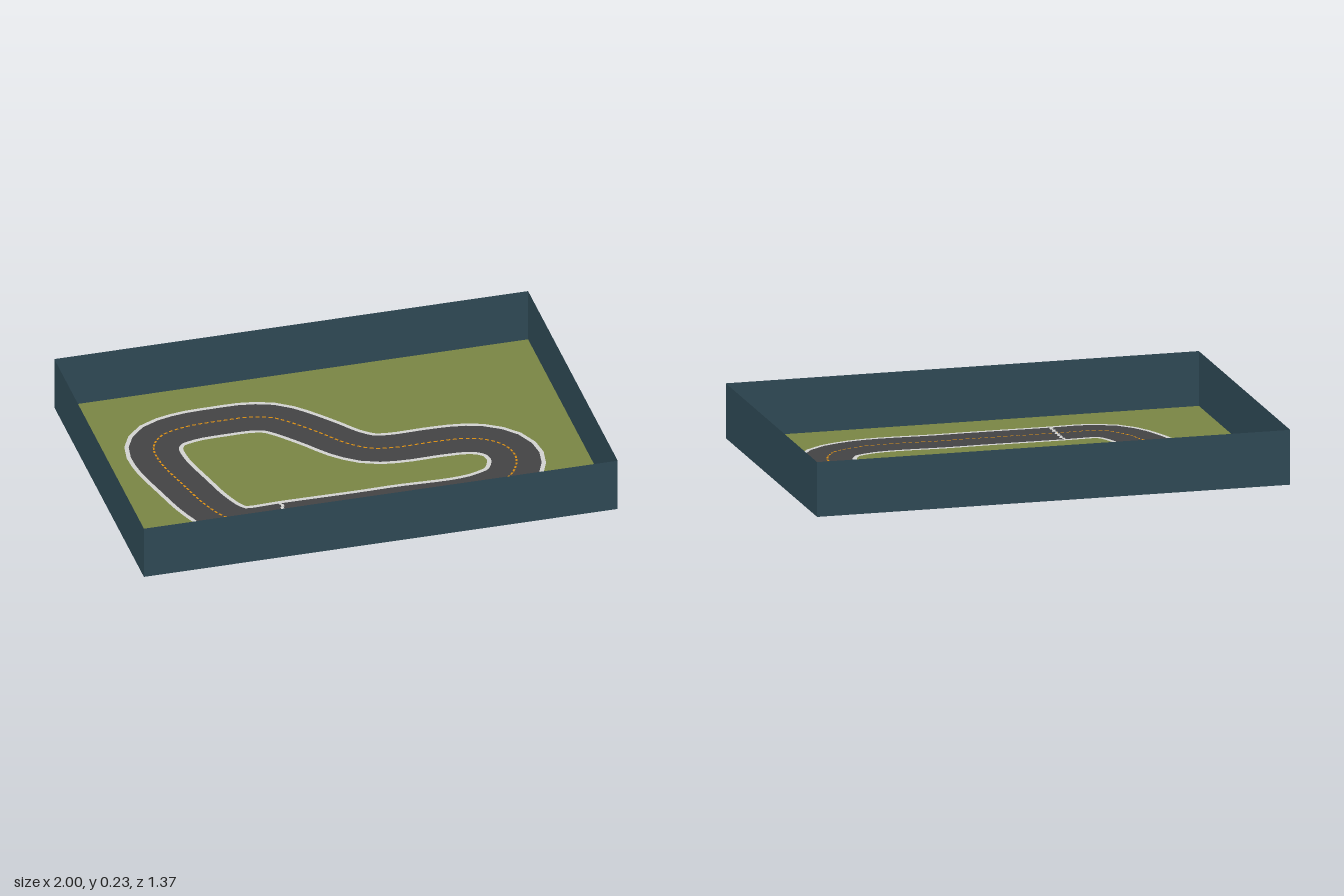
import * as THREE from 'three';
import { mergeGeometries } from 'three/addons/utils/BufferGeometryUtils.js';

const W = 2, D = 1.374, H = 0.23;

function material(name, color) {
  const m = new THREE.MeshStandardMaterial({ color });
  m.name = name;
  return m;
}

// Centre line of the circuit as x, z pairs
const CENTRE = [
  [-0.32, 0.387], [0.03, 0.39], [0.17, 0.388], [0.43, 0.395], [0.54, 0.377], [0.645, 0.325],
  [0.705, 0.205], [0.69, 0.1], [0.63, 0.033], [0.55, 0], [0.43, -0.01], [0.25, -0.01],
  [0.155, -0.03], [0.07, -0.095], [-0.02, -0.21], [-0.13, -0.335], [-0.18, -0.372], [-0.26, -0.395],
  [-0.375, -0.398], [-0.53, -0.39], [-0.64, -0.35], [-0.695, -0.27], [-0.7, -0.155],
  [-0.652, 0.065], [-0.615, 0.205], [-0.565, 0.32], [-0.51, 0.375], [-0.45, 0.39],
];
const path = new THREE.CatmullRomCurve3(CENTRE.map(([x, z]) => new THREE.Vector3(x, 0, z)), true);

// Flat strip along the path between two sideways offsets (a < b)
function ribbon(a, b, y, from = 0, to = 1, steps = 72) {
  const pos = [], index = [];
  for (let i = 0; i <= steps; i++) {
    const u = (from + (to - from) * i / steps) % 1;
    const p = path.getPointAt(u), t = path.getTangentAt(u);
    for (const o of [a, b]) pos.push(p.x + t.z * o, y, p.z - t.x * o);
    if (i < steps) {
      const k = i * 2;
      index.push(k, k + 2, k + 3, k, k + 3, k + 1);
    }
  }
  const g = new THREE.BufferGeometry();
  g.setAttribute('position', new THREE.Float32BufferAttribute(pos, 3));
  g.setIndex(index);
  g.computeVertexNormals();
  return g;
}

export function createModel() {
  const group = new THREE.Group();
  const grass = material('grass green', 0x788444);
  const wall = material('wall slate', 0x2e4854);
  const asphalt = material('asphalt grey', 0x424244);
  const white = material('edge white', 0xd0d0ce);
  const orange = material('line orange', 0xd88c10);
  grass.side = wall.side = THREE.DoubleSide;

  const add = (name, geometry, mat) => {
    const mesh = new THREE.Mesh(geometry, mat);
    mesh.name = name;
    group.add(mesh);
    return mesh;
  };

  // Ground
  add('ground', new THREE.PlaneGeometry(W, D).rotateX(-Math.PI / 2), grass);

  // Four thin surrounding walls
  for (const s of [1, -1]) {
    const turn = s > 0 ? 0 : Math.PI;
    add(s > 0 ? 'frontWall' : 'backWall',
      new THREE.PlaneGeometry(W, H).rotateY(turn).translate(0, H / 2, s * D / 2), wall);
    add(s > 0 ? 'leftWall' : 'rightWall',
      new THREE.PlaneGeometry(D, H).rotateY(turn + Math.PI / 2).translate(s * W / 2, H / 2, 0), wall);
  }

  // Road surface with a white border on each side
  add('road', ribbon(-0.102, 0.102, 0.003), asphalt);
  add('outerBorder', ribbon(-0.12, -0.102, 0.003), white);
  add('innerBorder', ribbon(0.102, 0.12, 0.003), white);

  // Dashed centre line
  const dashes = [], count = 140;
  for (let i = 0; i < count; i++) {
    dashes.push(ribbon(-0.004, 0.004, 0.005, i / count, (i + 0.62) / count, 1));
  }
  add('centreDashes', mergeGeometries(dashes), orange);

  // Start line of slightly staggered blocks
  const blocks = [];
  for (let i = 0; i < 12; i++) {
    blocks.push(new THREE.PlaneGeometry(0.013, 0.018).rotateX(-Math.PI / 2)
      .translate(-0.313 + (i % 2 ? 0.003 : -0.003), 0.006, 0.289 + i * 0.018));
  }
  add('startLine', mergeGeometries(blocks), white);

  return group;
}
